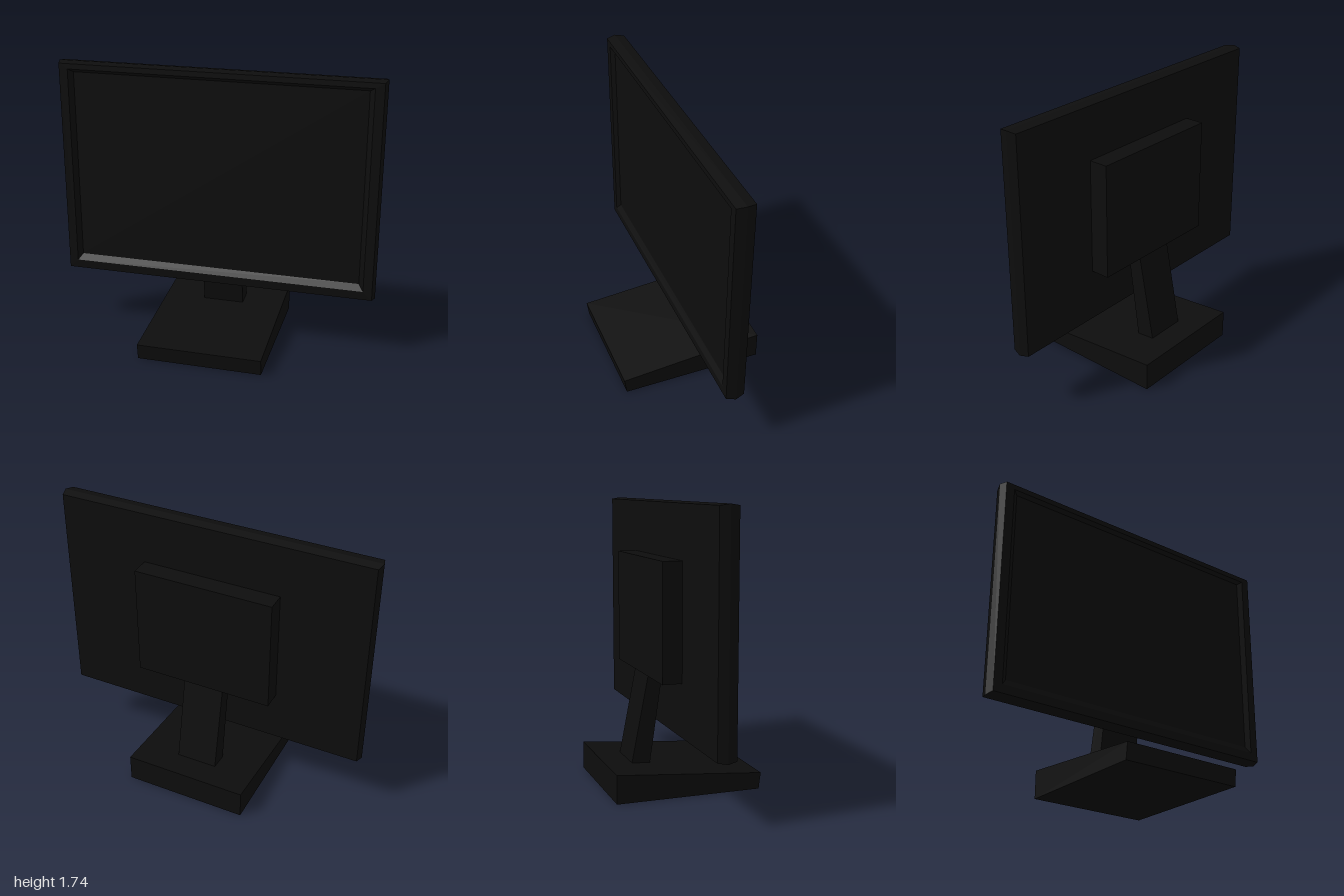
import * as THREE from 'three';

const casing = new THREE.MeshStandardMaterial({ color: 0x0d0d0d });
casing.name = 'black casing';

// Prism of a side profile, given as [z, y] points, centred on x
function sidePrism(name, profile, width) {
  const shape = new THREE.Shape(profile.map(([z, y]) => new THREE.Vector2(z, y)));
  const geometry = new THREE.ExtrudeGeometry(shape, { depth: width, bevelEnabled: false });
  geometry.translate(0, 0, -width / 2).rotateY(-Math.PI / 2);
  const mesh = new THREE.Mesh(geometry, casing);
  mesh.name = name;
  return mesh;
}

// Corners of a rectangle facing +z, anticlockwise
function rectangle([halfX, bottom, top, z]) {
  return [[-halfX, bottom, z], [halfX, bottom, z], [halfX, top, z], [-halfX, top, z]];
}

// Faceted skin through rectangular rings, with optional end caps
function ringMesh(name, rings, capBack, capFront) {
  const loops = rings.map(rectangle);
  const points = [];
  const quad = (a, b, c, d) => points.push(...a, ...b, ...c, ...a, ...c, ...d);
  for (let r = 0; r < loops.length - 1; r++) {
    for (let i = 0; i < 4; i++) {
      const j = (i + 1) % 4;
      quad(loops[r][i], loops[r][j], loops[r + 1][j], loops[r + 1][i]);
    }
  }
  if (capBack) quad(...[...loops[0]].reverse());
  if (capFront) quad(...loops[loops.length - 1]);
  const geometry = new THREE.BufferGeometry();
  geometry.setAttribute('position', new THREE.Float32BufferAttribute(points, 3));
  geometry.computeVertexNormals();
  const mesh = new THREE.Mesh(geometry, casing);
  mesh.name = name;
  return mesh;
}

export function createModel() {
  const model = new THREE.Group();
  model.name = 'monitor';

  // Panel: ridged rim, flat bezel and sloping lip down to the screen
  const screenRing = [0.9, 0.47, 1.68, 0.02];
  model.add(ringMesh('panelFrame', [
    [0.985, 0.377, 1.733, -0.072],
    [1.0, 0.368, 1.742, -0.015],
    [0.985, 0.377, 1.733, 0.042],
    [0.93, 0.43, 1.7, 0.042],
    screenRing,
  ], true, false));
  model.add(ringMesh('screen', [screenRing], false, true));

  // Box on the back of the panel
  const housing = new THREE.Mesh(new THREE.BoxGeometry(0.88, 0.71, 0.12), casing);
  housing.name = 'rearHousing';
  housing.position.set(0, 1.055, -0.131);
  model.add(housing);

  // Leaning neck, tucked slightly into housing and base
  model.add(sidePrism('neck', [[-0.17, 0.14], [-0.287, 0.14], [-0.175, 0.71], [-0.087, 0.71]], 0.26));

  // Wedge-shaped foot
  model.add(sidePrism('base', [[0.445, 0], [-0.455, 0], [-0.455, 0.175], [0.458, 0.1]], 0.78));

  return model;
}
